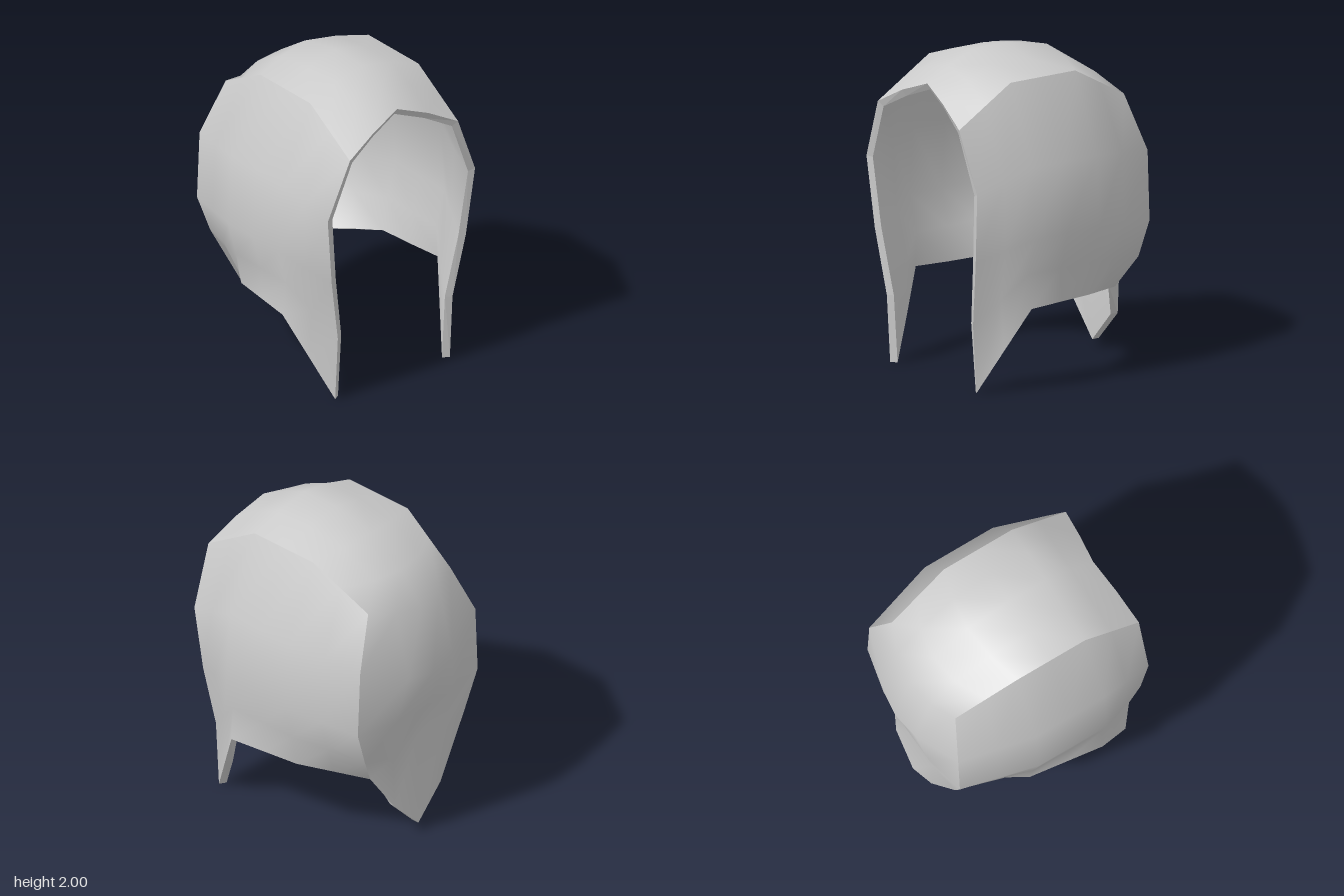
import * as THREE from 'three';

const THICKNESS = 0.048;

// Side panel stations from front to back, each listed from top to bottom.
const stations = [
  [[0.415, 1.645, 0.73], [0.565, 1.27, 0.705], [0.515, 0.83, 0.68], [0.44, 0.42, 0.645], [0.44, 0, 0.62]],
  [[0.415, 1.88, 0.35], [0.635, 1.4, 0.35], [0.665, 0.96, 0.35], [0.605, 0.73, 0.35], [0.625, 0.52, 0.345]],
  [[0.415, 1.88, -0.13], [0.635, 1.4, -0.13], [0.665, 0.96, -0.13], [0.6, 0.73, -0.13], [0.56, 0.52, -0.13]],
  [[0.36, 1.66, -0.53], [0.505, 1.33, -0.6], [0.525, 0.9, -0.6], [0.44, 0.66, -0.58], [0.31, 0.455, -0.5]],
];

// Crown rows from the forehead over the top to the nape: halfway point, centre point.
const crownRows = [
  [[0.21, 1.755, 0.7], [0, 1.835, 0.665]],
  [[0.215, 1.87, 0.52], [0, 1.92, 0.51]],
  [[0.22, 1.95, 0.34], [0, 1.995, 0.33]],
  [[0.22, 1.95, 0.08], [0, 2, 0.07]],
  [[0.215, 1.915, -0.19], [0, 1.94, -0.22]],
  [[0.2, 1.78, -0.43], [0, 1.78, -0.46]],
  [[0.19, 1.61, -0.6], [0, 1.59, -0.63]],
  [[0.19, 1.2, -0.705], [0, 1.17, -0.73]],
  [[0.25, 0.9, -0.66], [0, 0.9, -0.67]],
  [[0.22, 0.6, -0.6], [0, 0.65, -0.59]],
  [[0.2, 0.25, -0.6], [0, 0.05, -0.605]],
];

const vec = (p) => new THREE.Vector3(...p);
const flip = (p) => new THREE.Vector3(-p.x, p.y, p.z);
const key = (p) => p.toArray().map((n) => Math.round(n * 1000)).join();
const mirrorGrid = (grid) => grid.map((row) => [...row].reverse().map(flip));

function gridGeometry(grid, reversed = false) {
  const cols = grid[0].length;
  const index = [];
  for (let r = 0; r < grid.length - 1; r++) {
    for (let c = 0; c < cols - 1; c++) {
      const a = r * cols + c, b = a + 1, d = a + cols, e = d + 1;
      if (reversed) index.push(a, e, b, a, d, e);
      else index.push(a, b, e, a, e, d);
    }
  }
  const geometry = new THREE.BufferGeometry().setFromPoints(grid.flat());
  geometry.setIndex(index);
  geometry.computeVertexNormals();
  return geometry;
}

export function createModel() {
  const group = new THREE.Group();
  const material = new THREE.MeshStandardMaterial({ color: 0xcccccc, side: THREE.DoubleSide });
  const add = (name, geometry) => {
    const mesh = new THREE.Mesh(geometry, material);
    mesh.name = name;
    group.add(mesh);
  };

  // Panel columns, with a midway column between neighbouring stations
  const columns = [];
  stations.forEach((station, i) => {
    const points = station.map(vec);
    if (i) {
      const last = columns[columns.length - 1];
      columns.push(points.map((p, j) => p.clone().lerp(last[j], 0.5)));
    }
    columns.push(points);
  });
  const back = columns[columns.length - 1];
  const leftPanel = back.map((_, j) => columns.map((col) => col[j]).reverse());

  // The crown shares its border with the panels' top and back edges
  const border = [...columns.map((col) => col[0]), ...back.slice(1)];
  const crown = crownRows.map(([m, c], i) => {
    const mid = vec(m);
    return [flip(border[i]), flip(mid), vec(c), mid, border[i]];
  });

  const patches = { crown, leftPanel, rightPanel: mirrorGrid(leftPanel) };

  // Shared normals give the direction in which the shell thickens
  const normals = new Map();
  for (const grid of Object.values(patches)) {
    const attribute = gridGeometry(grid).getAttribute('normal');
    grid.flat().forEach((p, i) => {
      const k = key(p);
      if (!normals.has(k)) normals.set(k, new THREE.Vector3());
      normals.get(k).add(new THREE.Vector3().fromBufferAttribute(attribute, i));
    });
  }
  const inward = (p) => p.clone().addScaledVector(normals.get(key(p)).clone().normalize(), -THICKNESS);

  // Outer and inner skins, with a hard crease between patches
  for (const [name, grid] of Object.entries(patches)) {
    add(name + 'Outside', gridGeometry(grid));
    add(name + 'Inside', gridGeometry(grid.map((row) => row.map(inward)), true));
  }

  // Rim around the face opening and the lower edge
  const nape = crown[crown.length - 1];
  const half = [
    ...crown[0].slice(2),
    ...columns[0].slice(1),
    ...columns.slice(1).map((col) => col[col.length - 1]),
    nape[3], nape[2],
  ];
  const loop = [...half, ...half.slice(1, -1).reverse().map(flip), half[0]];
  const rim = gridGeometry([loop.map(inward), loop]).toNonIndexed();
  rim.computeVertexNormals();
  add('rim', rim);

  return group;
}
